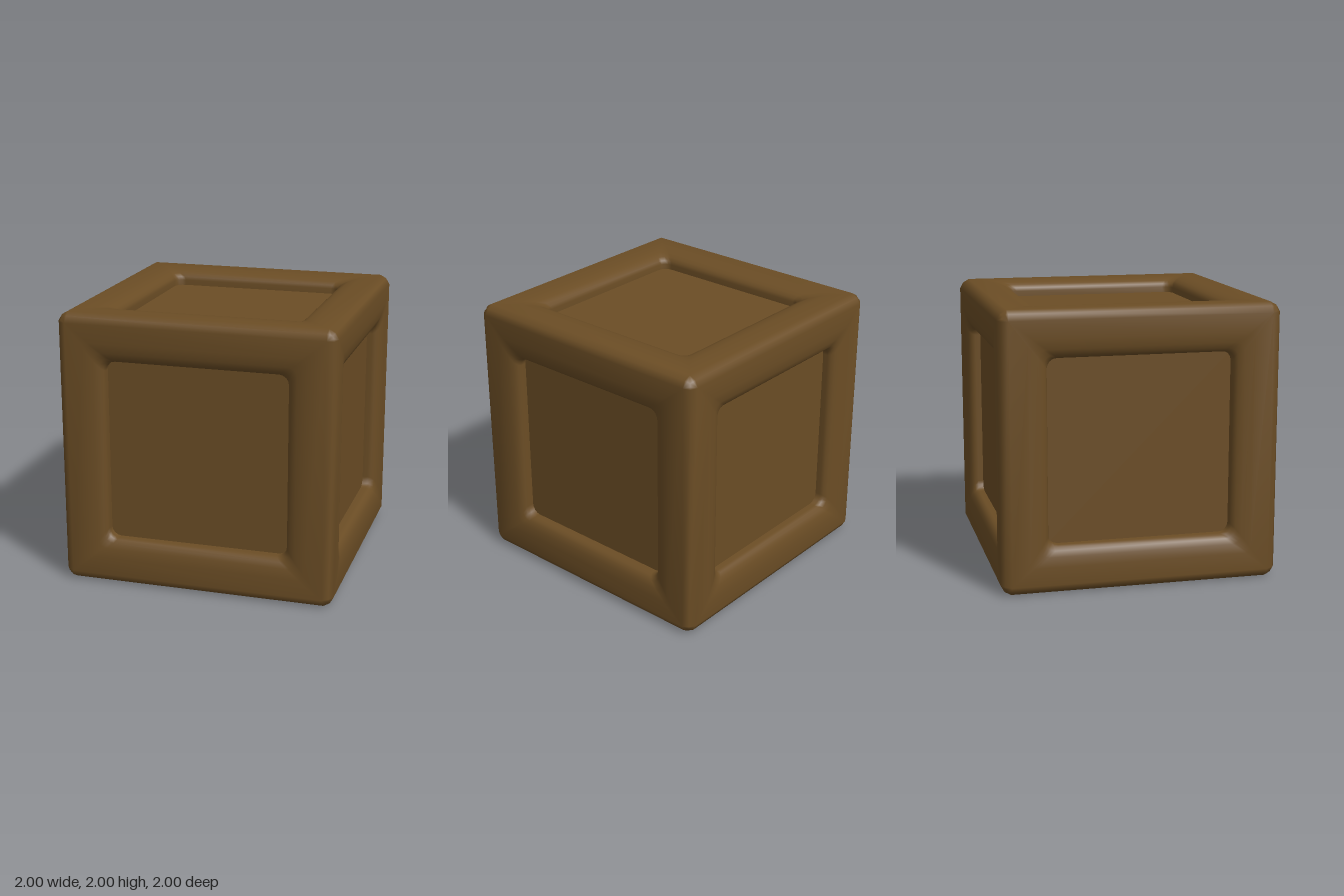
import * as THREE from 'three';
import { mergeGeometries, mergeVertices } from 'three/addons/utils/BufferGeometryUtils.js';

const ARC = 4; // segments in each rounded corner

// Counter-clockwise rounded square; without a height it follows the cube's edges.
function ring([half, radius, height]) {
  const points = [];
  for (let c = 0; c < 4; c++) {
    const sx = c === 0 || c === 3 ? 1 : -1;
    const sy = c < 2 ? 1 : -1;
    for (let i = 0; i <= ARC; i++) {
      const a = (c + i / ARC) * Math.PI / 2;
      const x = sx * (half - radius) + radius * Math.cos(a);
      const y = sy * (half - radius) + radius * Math.sin(a);
      points.push([x, y, height ?? Math.max(Math.abs(x), Math.abs(y))]);
    }
  }
  return points;
}

// One side of the frame, from the recess wall out to the rounded cube edge.
function frameSide() {
  const rings = [
    [0.66, 0.07, 0.86],
    [0.66, 0.07, 0.925],
    [0.668, 0.07, 0.95],
    [0.69, 0.07, 0.972],
    [0.73, 0.06, 0.988],
    [0.8, 0.04, 1],
    [0.93, 0, 1],
    [0.975, 0.05],
  ].map(ring);
  const n = rings[0].length;
  const index = [];
  for (let r = 0; r < rings.length - 1; r++) {
    for (let j = 0; j < n; j++) {
      const k = (j + 1) % n;
      const a = r * n + j, b = a + n, c = (r + 1) * n + k, d = r * n + k;
      index.push(a, b, c, a, c, d);
    }
  }
  const geometry = new THREE.BufferGeometry();
  geometry.setAttribute('position', new THREE.Float32BufferAttribute(rings.flat(2), 3));
  geometry.setIndex(index);
  return geometry;
}

export function createModel() {
  const group = new THREE.Group();
  group.name = 'crate';
  const wood = new THREE.MeshStandardMaterial({ color: 0x6b4d25 });
  wood.name = 'brown wood';

  // Six sides welded together so the shading runs smoothly over the edges
  const q = Math.PI / 2;
  const sides = [[0, 0], [0, q], [0, 2 * q], [0, -q], [q, 0], [-q, 0]].map(
    ([rx, ry]) => frameSide().rotateX(rx).rotateY(ry));
  const frameGeometry = mergeVertices(mergeGeometries(sides), 1e-4);
  frameGeometry.computeVertexNormals();
  const frame = new THREE.Mesh(frameGeometry, wood);
  frame.name = 'frame';

  // Inner box showing as a recessed panel on every side
  const panels = new THREE.Mesh(new THREE.BoxGeometry(1.77, 1.77, 1.77), wood);
  panels.name = 'panels';

  for (const mesh of [frame, panels]) {
    mesh.position.y = 1;
    group.add(mesh);
  }
  return group;
}
